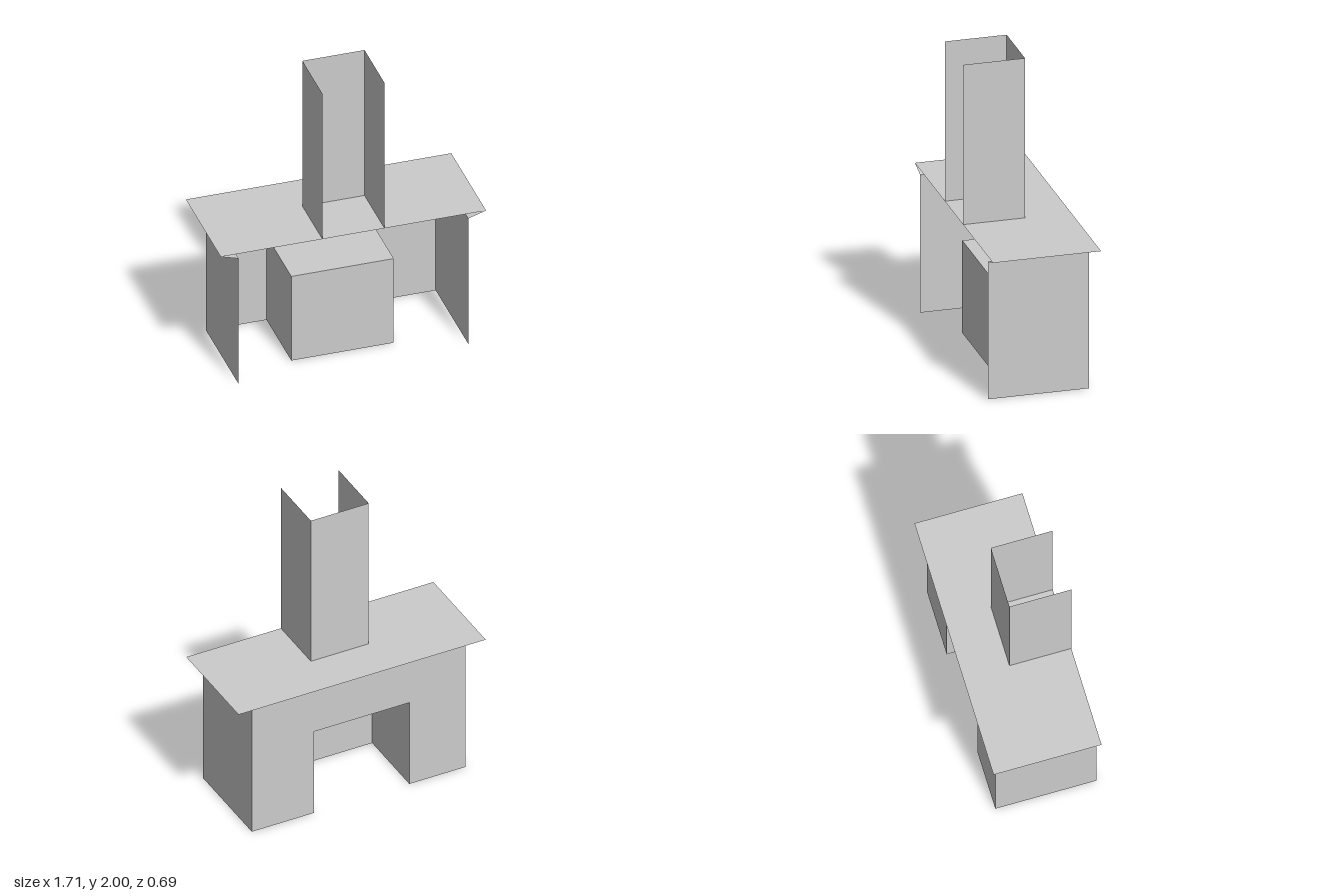
import * as THREE from 'three';

const material = new THREE.MeshStandardMaterial({
  color: 0xcccccc, flatShading: true, side: THREE.DoubleSide,
});

// Open sheet of quads between two cross-sections with matching points
function strip(name, from, to) {
  const positions = [];
  for (let i = 0; i < from.length - 1; i++) {
    const [a, b, c, d] = [from[i], from[i + 1], to[i + 1], to[i]];
    positions.push(...a, ...b, ...c, ...a, ...c, ...d);
  }
  const geometry = new THREE.BufferGeometry();
  geometry.setAttribute('position', new THREE.Float32BufferAttribute(positions, 3));
  geometry.computeVertexNormals();
  const mesh = new THREE.Mesh(geometry, material);
  mesh.name = name;
  return mesh;
}

// U-shaped path in plan: open at z = open, closed at z = closed
const uPath = (x0, x1, open, closed, y) => [
  [x1, y, open], [x1, y, closed], [x0, y, closed], [x0, y, open],
];

export function createModel() {
  const group = new THREE.Group();
  group.name = 'fireplace';

  const W = 0.74, H = 0.91, face = -0.3, wall = 0.345;
  const mantelTop = 0.945, mantelW = 0.855, mantelFace = -0.345;
  const left = -0.35, right = 0.31, openingH = 0.61, hearthZ = 0.19;

  // Face of the surround, cut out around the firebox
  const outline = new THREE.Shape([
    [-W, 0], [left, 0], [left, openingH], [right, openingH],
    [right, 0], [W, 0], [W, H], [-W, H],
  ].map(([x, y]) => new THREE.Vector2(x, y)));
  const faceGeometry = new THREE.ShapeGeometry(outline);
  faceGeometry.rotateY(Math.PI).scale(-1, 1, -1).translate(0, 0, face);
  const surround = new THREE.Mesh(faceGeometry, material);
  surround.name = 'surroundFace';
  group.add(surround);

  // Side walls of the surround
  for (const s of [-1, 1]) {
    group.add(strip(s > 0 ? 'leftSide' : 'rightSide',
      [[s * W, 0, face], [s * W, 0, wall]],
      [[s * W, H, face], [s * W, H, wall]]));
  }

  // Firebox recess: walls and ceiling
  group.add(strip('fireboxWalls',
    uPath(left, right, face, hearthZ, 0),
    uPath(left, right, face, hearthZ, openingH)));
  group.add(strip('fireboxCeiling',
    [[left, openingH, face], [right, openingH, face]],
    [[left, openingH, hearthZ], [right, openingH, hearthZ]]));

  // Mantel: flared edge and flat shelf
  group.add(strip('mantelEdge',
    uPath(-W, W, wall, face, H),
    uPath(-mantelW, mantelW, wall, mantelFace, mantelTop)));
  group.add(strip('mantelShelf',
    [[-mantelW, mantelTop, wall], [mantelW, mantelTop, wall]],
    [[-mantelW, mantelTop, mantelFace], [mantelW, mantelTop, mantelFace]]));

  // Chimney breast, open along the wall and at the top
  group.add(strip('chimney',
    uPath(-0.2, 0.2, wall, -0.05, mantelTop),
    uPath(-0.2, 0.2, wall, -0.05, 2)));

  return group;
}
